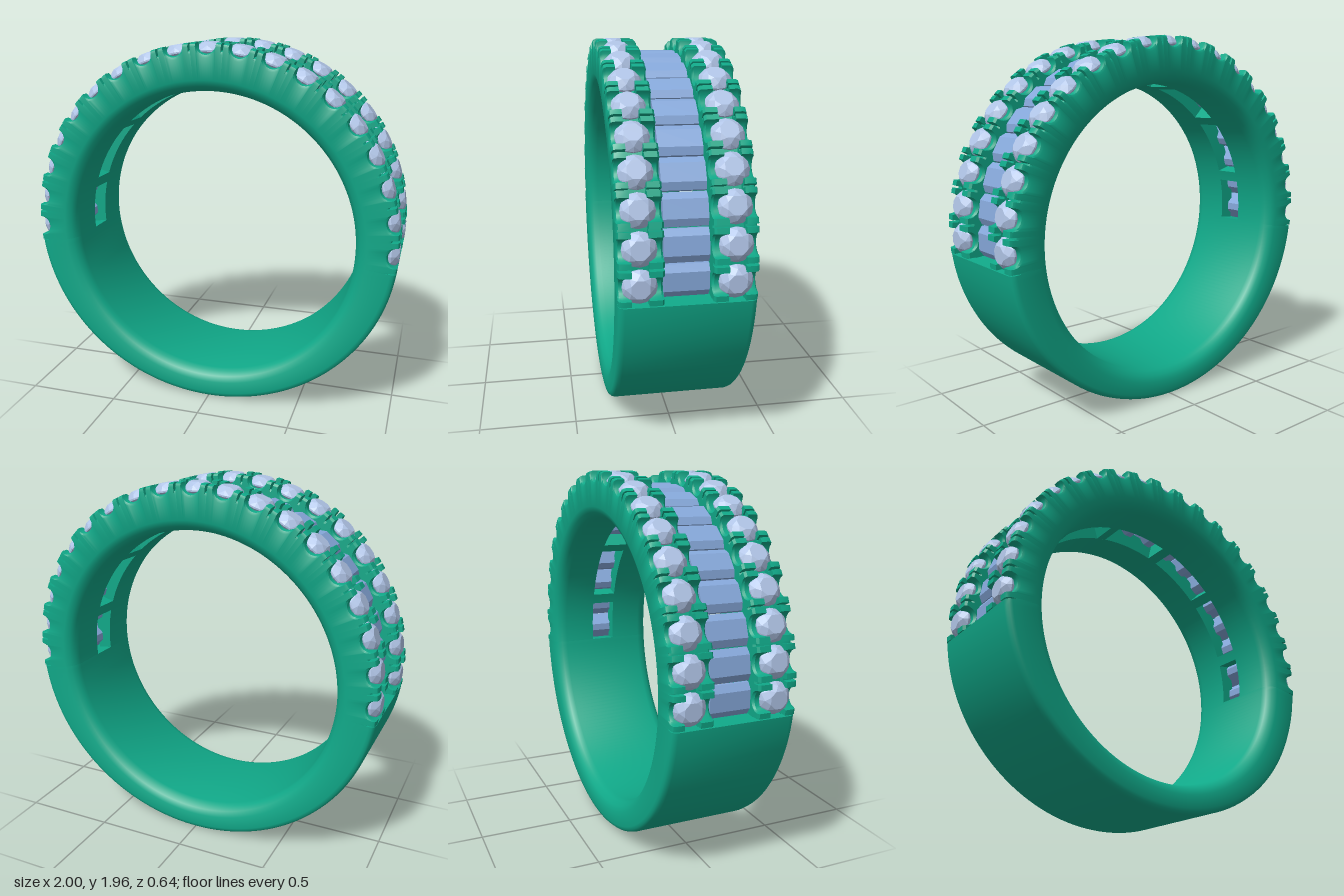
import * as THREE from 'three';
import { toCreasedNormals } from 'three/addons/utils/BufferGeometryUtils.js';
import { ConvexGeometry } from 'three/addons/geometries/ConvexGeometry.js';

const CY = 0.96;      // height of the outer circle's centre
const STEP = 0.178;   // angle between neighbouring stones
const HALF = 9;       // stones on each side of the top one
const END = 1.69;     // angle from the top at which the settings stop

const metal = new THREE.MeshStandardMaterial({ color: 0x10a888 });
const roundGem = new THREE.MeshStandardMaterial({ color: 0xb0c4e6, flatShading: true });
const barGem = new THREE.MeshStandardMaterial({ color: 0x86a8da, flatShading: true });

// Radius of the finger hole and of the outer face, seen from the outer centre
const inner = (t) => -0.025 * Math.cos(t) + Math.sqrt(0.78 ** 2 - (0.025 * Math.sin(t)) ** 2);
const outer = (t) => (Math.cos(t) > 0 ? 1 : 1 / Math.hypot(Math.sin(t), Math.cos(t) / 0.96));

// Sweeps a closed counter-clockwise (radius, z) section around the ring
function sweep(angles, section) {
  const pos = [];
  const loops = angles.map((t) => section(t).map(([r, z]) => [r * Math.sin(t), CY + r * Math.cos(t), z]));
  const n = loops[0].length;
  for (let i = 0; i < loops.length - 1; i++) {
    for (let j = 0; j < n; j++) {
      const k = (j + 1) % n;
      const a = loops[i][j], b = loops[i][k], c = loops[i + 1][k], d = loops[i + 1][j];
      pos.push(...a, ...b, ...c, ...a, ...c, ...d);
    }
  }
  // End caps
  [0, loops.length - 1].forEach((i) => {
    const flat = section(angles[i]).map(([r, z]) => new THREE.Vector2(r, z));
    for (const [a, b, c] of THREE.ShapeUtils.triangulateShape(flat, [])) {
      const tri = i === 0 ? [a, c, b] : [a, b, c];
      tri.forEach((v) => pos.push(...loops[i][v]));
    }
  });
  const geo = new THREE.BufferGeometry();
  geo.setAttribute('position', new THREE.Float32BufferAttribute(pos, 3));
  return toCreasedNormals(geo, 0.6);
}

const range = (a, b, n) => Array.from({ length: n + 1 }, (_, i) => a + ((b - a) * i) / n);

// Rounded edge towards the finger, from the side face inwards
const innerEdge = (ri) => [[ri + 0.06, 0.32], [ri + 0.028, 0.305], [ri + 0.008, 0.28], [ri, 0.25]];

// Height of the rails: a scallop at each stone, a slit between stones
function railTop(t) {
  const i = Math.max(-HALF, Math.min(HALF, Math.round(t / STEP)));
  const d = Math.abs(t - i * STEP);
  if (d > 0.083) return 0.965;
  return 1 - (d < 0.055 ? Math.sqrt(0.055 ** 2 - d * d) : 0);
}

// Section of one stone-carrying flange with two rails and a seat between
function flangeSection(t, side) {
  const ri = inner(t), top = railTop(t), seat = 0.94;
  const pts = [
    [ri, 0.07], [0.865, 0.07], [0.865, 0.112], [top - 0.012, 0.112], [top, 0.122], [top, 0.18],
    [seat, 0.18], [seat, 0.26], [top, 0.26], [top, 0.3], [top - 0.006, 0.314], [top - 0.02, 0.32],
    ...innerEdge(ri),
  ];
  return side > 0 ? pts : pts.map(([r, z]) => [r, -z]).reverse();
}

// Section of the plain lower band
function bandSection(t) {
  const R = outer(t);
  const half = [[R, 0.29], [R - 0.004, 0.305], [R - 0.014, 0.316], [R - 0.03, 0.32], ...innerEdge(inner(t))];
  return [...half.map(([r, z]) => [r, -z]).reverse(), ...half];
}

// Round brilliant: table, crown, girdle and pavilion
function brilliantGeometry() {
  const pts = [new THREE.Vector3(0, -0.085, 0)];
  const ring = (n, r, y, turn) => {
    for (let i = 0; i < n; i++) {
      const a = ((i + turn) / n) * Math.PI * 2;
      pts.push(new THREE.Vector3(r * Math.cos(a), y, r * Math.sin(a)));
    }
  };
  ring(16, 0.081, -0.008, 0);
  ring(16, 0.081, 0, 0);
  ring(8, 0.066, 0.022, 0);
  ring(8, 0.046, 0.038, 0.5);
  return new ConvexGeometry(pts);
}

// Baguette: flat table, bevelled long sides and a narrow keel
function baguetteGeometry() {
  const pts = [];
  for (const [x, y, z] of [[0.045, 0.935, 0.105], [0.078, 0.912, 0.105], [0.078, 0.895, 0.105], [0.02, 0.83, 0.065]]) {
    for (const sx of [-1, 1]) for (const sz of [-1, 1]) pts.push(new THREE.Vector3(sx * x, y, sz * z));
  }
  return new ConvexGeometry(pts);
}

export function createModel() {
  const group = new THREE.Group();
  const add = (name, geo, mat, parent = group) => {
    const mesh = new THREE.Mesh(geo, mat);
    mesh.name = name;
    parent.add(mesh);
    return mesh;
  };

  // Plain band around the bottom
  add('lowerBand', sweep(range(END, Math.PI * 2 - END, 96), bandSection), metal);

  // Scalloped flanges, sampled at every scallop and slit
  const angles = [-END];
  for (let i = -HALF; i <= HALF; i++) {
    const offsets = [-0.0835, -0.0825, ...range(0, Math.PI, 10).map((a) => -0.055 * Math.cos(a)), 0.0825, 0.0835];
    offsets.forEach((o) => angles.push(i * STEP + o));
  }
  angles.push(END);
  for (const side of [1, -1]) {
    add(side > 0 ? 'frontFlange' : 'backFlange', sweep(angles, (t) => flangeSection(t, side)), metal);
  }

  // Ribs joining the flanges, leaving windows behind the baguettes
  for (let i = -2.5; i <= 2.5; i++) {
    const c = i * 3 * STEP;
    add('windowRib', sweep(range(c - 0.04, c + 0.04, 4), (t) => {
      const ri = inner(t);
      return [[ri, -0.072], [0.855, -0.072], [0.855, 0.072], [ri, 0.072]];
    }), metal);
  }

  // Two rows of round stones and the baguettes in the channel
  const brilliant = brilliantGeometry();
  const baguette = baguetteGeometry();
  for (let i = -HALF; i <= HALF; i++) {
    const setting = new THREE.Group();
    setting.name = 'stoneSetting';
    setting.position.y = CY;
    setting.rotation.z = -i * STEP;
    add('baguetteStone', baguette, barGem, setting);
    for (const z of [0.22, -0.22]) add('roundStone', brilliant, roundGem, setting).position.set(0, 0.962, z);
    group.add(setting);
  }
  return group;
}
